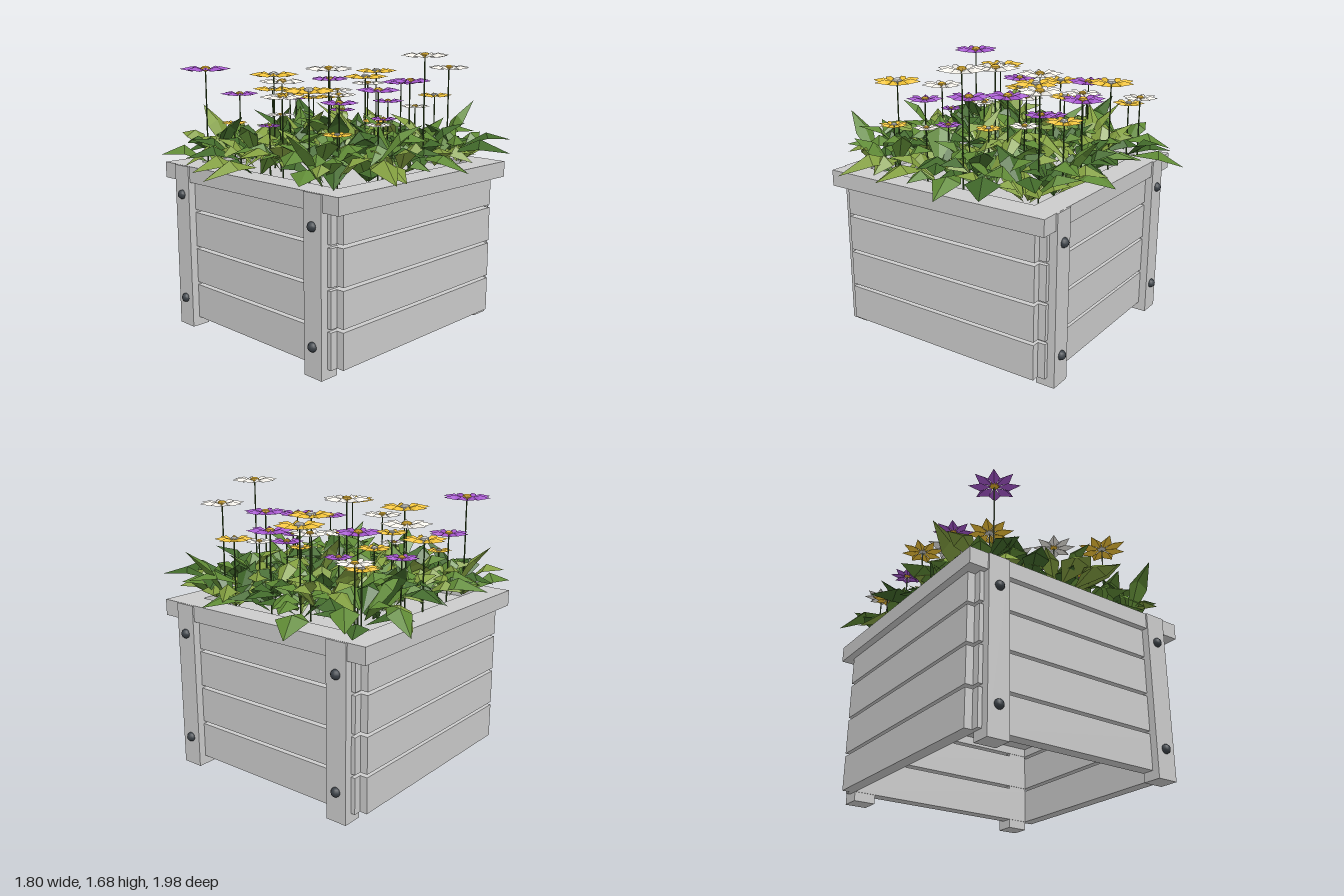
import * as THREE from 'three';
import { mergeGeometries } from 'three/addons/utils/BufferGeometryUtils.js';

const CX = -0.035, CZ = -0.022; // centre of the wooden box
const mat = (color, thin) => new THREE.MeshStandardMaterial({
  color, flatShading: true, side: thin ? THREE.DoubleSide : THREE.FrontSide });
const V = (x, y, z) => new THREE.Vector3(x, y, z);

let seed = 11;
const rnd = (a = 0, b = 1) => {
  seed = (seed * 16807) % 2147483647;
  return a + (b - a) * seed / 2147483647;
};

function add(parent, name, geometry, material, x = 0, y = 0, z = 0) {
  const mesh = new THREE.Mesh(geometry, material);
  mesh.name = name;
  mesh.position.set(x, y, z);
  parent.add(mesh);
  return mesh;
}

// Folded blade: two sides meeting along a ridge; edge and ridge are raised over the straight line
function blade(base, tip, width, ridge, edge) {
  const dir = tip.clone().sub(base);
  const side = V(-dir.z, 0, dir.x).normalize().multiplyScalar(width / 2);
  const mid = base.clone().addScaledVector(dir, 0.52);
  const top = mid.clone().add(V(0, ridge, 0));
  mid.y += edge;
  const l = mid.clone().add(side), r = mid.clone().sub(side);
  const g = new THREE.BufferGeometry().setFromPoints(
    [base, l, top, l, tip, top, base, top, r, r, top, tip]);
  g.computeVertexNormals();
  return g;
}

function buildBox() {
  const box = new THREE.Group();
  box.name = 'planterBox';
  const wood = mat(0xcccccc), metal = mat(0x3c4248);
  metal.flatShading = false;

  // Four rows of planks, leaving a notch at each corner
  for (let i = 0; i < 4; i++) {
    const y = 0.158 + i * 0.227;
    for (const s of [-1, 1]) {
      add(box, 'longPlank', new THREE.BoxGeometry(1.3, 0.209, 0.073), wood, CX, y, CZ + s * 0.6605);
      add(box, 'sidePlank', new THREE.BoxGeometry(0.073, 0.209, 1.304), wood, CX + s * 0.6585, y, CZ);
    }
  }

  // Corner posts with round bolt heads
  const bolt = new THREE.SphereGeometry(0.028, 12, 8);
  for (const sx of [-1, 1]) for (const sz of [-1, 1]) {
    const x = CX + sx * 0.56;
    add(box, 'post', new THREE.BoxGeometry(0.13, 1, 0.115), wood, x, 0.5, CZ + sz * 0.685);
    for (const y of [0.175, 0.825]) add(box, 'bolt', bolt, metal, x, y, CZ + sz * 0.743);
  }

  // Top rim, inner shelf and soil bed
  for (const s of [-1, 1]) {
    add(box, 'frontBackRim', new THREE.BoxGeometry(1.475, 0.096, 0.155), wood, CX, 0.953, CZ + s * 0.655);
    add(box, 'sideRim', new THREE.BoxGeometry(0.155, 0.096, 1.155), wood, CX + s * 0.66, 0.953, CZ);
  }
  add(box, 'shelf', new THREE.BoxGeometry(1.25, 0.14, 1.25), wood, CX, 0.63, CZ);
  add(box, 'soil', new THREE.BoxGeometry(1.2, 0.05, 1.2), wood, CX, 0.93, CZ);
  return box;
}

function buildLeaves() {
  const group = new THREE.Group();
  group.name = 'foliage';
  const piles = [[], [], []];
  const leaf = (base, tip, width) =>
    piles[Math.floor(rnd(0, 3))].push(blade(base, tip, width, rnd(0.06, 0.09), 0.035));

  // Rosettes of broad arching leaves over the bed
  for (let i = 0; i < 6; i++) for (let j = 0; j < 6; j++) {
    const x = -0.52 + i * 0.205 + rnd(-0.06, 0.06), z = -0.53 + j * 0.21 + rnd(-0.06, 0.06);
    const turn = rnd(0, 6.28);
    for (let k = 0; k < 8; k++) {
      const a = turn + k * Math.PI / 4 + rnd(-0.25, 0.25), len = rnd(0.2, 0.31);
      const tipY = k === 0 ? rnd(1.2, 1.35) : rnd(1.03, 1.22);
      const c = Math.cos(a), s = Math.sin(a);
      leaf(V(x + c * 0.02, rnd(0.98, 1.1), z + s * 0.02),
        V(x + c * len, tipY, z + s * len), rnd(0.1, 0.16));
    }
  }

  // Long leaves hanging over the rim, given by their tips
  const tips = [
    [-0.45, -0.99], [-0.68, -0.8], [-0.9, -0.55], [-0.83, -0.43], [-0.87, -0.22], [-0.78, -0.02],
    [-0.9, 0.21], [-0.78, 0.33], [-0.7, 0.54], [-0.56, 0.72], [-0.4, 0.83], [-0.17, 0.95],
    [-0.02, 0.99], [0.13, 0.87], [0.32, 0.72], [0.43, 0.72], [0.58, 0.62], [0.88, 0.48],
    [0.79, 0.29], [0.72, 0.05], [0.85, -0.17], [0.9, -0.5], [0.75, -0.73], [0.44, -0.8],
    [0.23, -0.9], [0.02, -0.78], [-0.2, -0.8]];
  for (const [x, z] of tips) {
    const len = rnd(0.3, 0.38), d = Math.hypot(x, z), k = (d - len) / d;
    leaf(V(x * k, rnd(1.02, 1.12), z * k), V(x, rnd(1.0, 1.18), z), rnd(0.14, 0.19));
  }

  [0x839f40, 0x5f8a35, 0x41692a].forEach((color, i) =>
    add(group, 'leaves', mergeGeometries(piles[i]), mat(color, true)));
  return group;
}

function buildFlowers() {
  const group = new THREE.Group();
  group.name = 'flowers';
  const gold = mat(0xe3b32c), pale = mat(0xc9c9c4), green = mat(0x35521f);
  // Each flower: x, z, head height, radius
  const kinds = [
    { color: 0xf0c236, centre: pale, list: [
      [-0.23, -0.61, 1.52, 0.14], [0, -0.25, 1.51, 0.14], [-0.63, -0.04, 1.41, 0.13],
      [-0.32, 0.22, 1.53, 0.15], [0.31, 0.53, 1.49, 0.15], [0.27, -0.6, 1.39, 0.11],
      [-0.59, -0.55, 1.33, 0.1], [0.44, 0.45, 1.26, 0.09], [-0.42, 0.45, 1.25, 0.08],
      [-0.41, -0.2, 1.36, 0.1], [-0.33, 0.08, 1.4, 0.1], [0.23, -0.08, 1.27, 0.08]] },
    { color: 0xa455cc, centre: gold, list: [
      [0.02, -0.57, 1.46, 0.13], [-0.42, -0.36, 1.47, 0.13], [0.33, -0.28, 1.5, 0.13],
      [0.32, -0.01, 1.46, 0.13], [-0.6, 0.26, 1.4, 0.12], [-0.53, 0.57, 1.57, 0.15],
      [0.32, 0.31, 1.41, 0.11], [-0.62, -0.24, 1.34, 0.1], [0.1, -0.35, 1.36, 0.1],
      [-0.2, -0.25, 1.29, 0.09], [-0.1, 0.45, 1.26, 0.07], [0.42, 0.06, 1.31, 0.08]] },
    { color: 0xf0ede6, centre: gold, list: [
      [0.42, -0.54, 1.57, 0.13], [0.55, -0.14, 1.66, 0.14], [-0.02, 0.05, 1.57, 0.15],
      [-0.47, 0.02, 1.47, 0.15], [0, 0.44, 1.43, 0.13], [-0.17, -0.46, 1.45, 0.11],
      [-0.6, -0.62, 1.37, 0.11], [0.48, 0.17, 1.29, 0.08], [-0.21, 0.27, 1.3, 0.08],
      [0.3, -0.37, 1.34, 0.09], [-0.1, -0.12, 1.4, 0.11]] }];

  for (const { color, centre, list } of kinds) {
    const petalMat = mat(color, true);
    for (const [x, z, y, r] of list) {
      const flower = new THREE.Group();
      flower.name = 'flower';
      flower.position.set(x, y, z);
      const turn = rnd(0, 0.78), petals = [];
      for (let k = 0; k < 8; k++) {
        const c = Math.cos(turn + k * Math.PI / 4), s = Math.sin(turn + k * Math.PI / 4);
        petals.push(blade(V(c * 0.06 * r, -0.06 * r, s * 0.06 * r), V(c * r, 0, s * r),
          0.46 * r, 0.12 * r, -0.06 * r));
      }
      add(flower, 'petals', mergeGeometries(petals), petalMat);
      add(flower, 'flowerCentre', new THREE.SphereGeometry(0.2 * r, 8, 6), centre).scale.y = 0.55;
      const h = y - 0.95;
      add(flower, 'stem', new THREE.CylinderGeometry(0.004, 0.005, h, 5), green, 0, -h / 2 - 0.05 * r, 0);
      group.add(flower);
    }
  }
  return group;
}

export function createModel() {
  const model = new THREE.Group();
  model.name = 'flowerPlanter';
  model.add(buildBox(), buildLeaves(), buildFlowers());
  return model;
}
